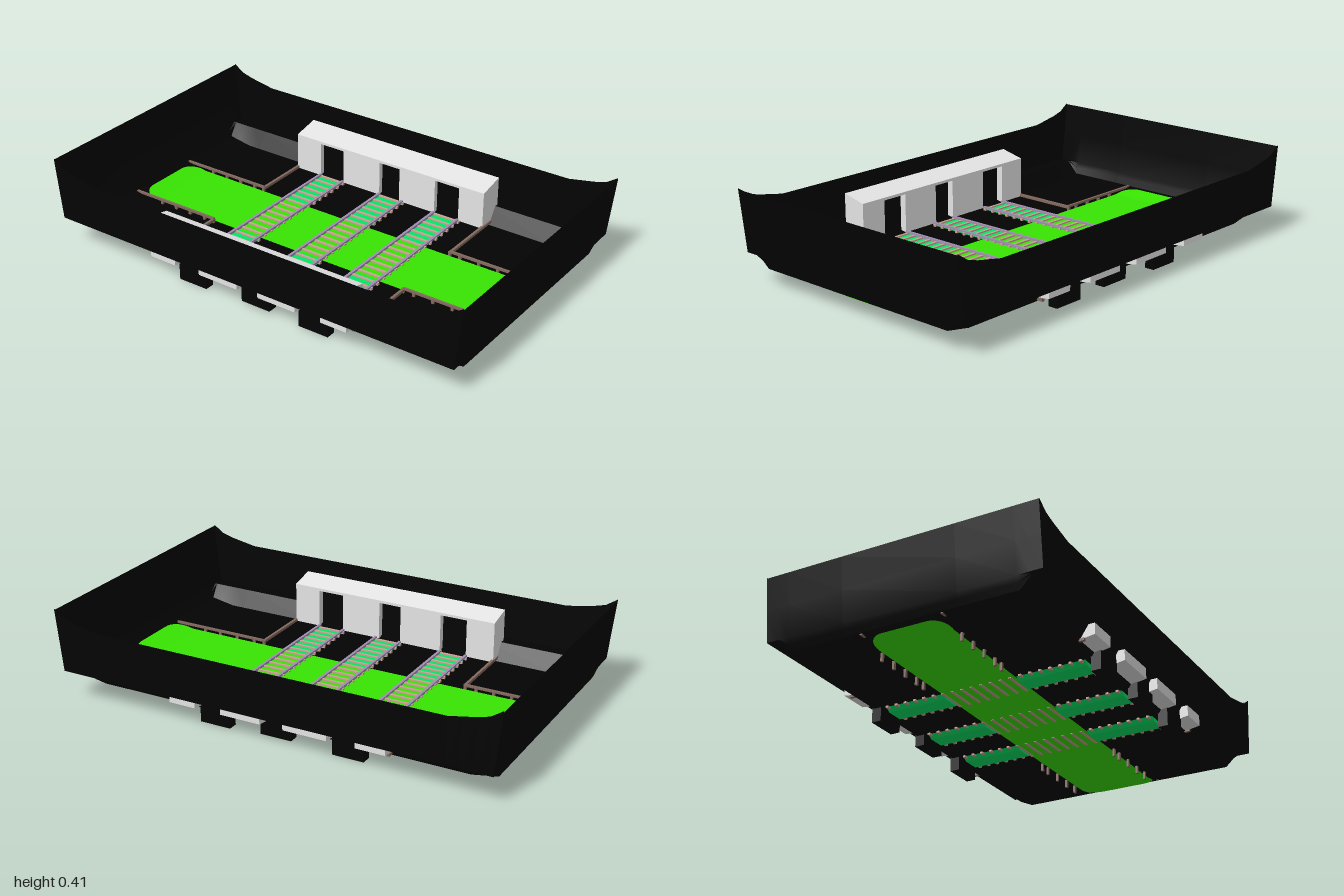
import * as THREE from 'three';
import { toCreasedNormals } from 'three/addons/utils/BufferGeometryUtils.js';

const material = (name, color, side = THREE.FrontSide) => {
  const m = new THREE.MeshStandardMaterial({ color, side });
  m.name = name;
  return m;
};

// Piecewise linear lookup in a list of [position, value]
function lookup(points, t) {
  for (let i = 1; i < points.length; i++) {
    const [a, va] = points[i - 1], [b, vb] = points[i];
    if (t <= b) return va + (vb - va) * Math.max(0, (t - a) / (b - a));
  }
  return points[points.length - 1][1];
}
const FLOOR = [[0, 0.058], [0.84, 0.06], [0.95, 0.08], [0.97, 0.13], [1, 0.4]];
const RIM = [[0, 0.335], [0.78, 0.335], [0.86, 0.35], [0.94, 0.365], [1, 0.405]];
const floorAt = z => lookup(FLOOR, Math.abs(z));

// Grid surface facing up, from a rule (column, row) -> [x, y, z]
function surface(cols, rows, rule) {
  const g = new THREE.PlaneGeometry(1, 1, cols, rows);
  const p = g.attributes.position;
  for (let r = 0; r <= rows; r++)
    for (let c = 0; c <= cols; c++) p.setXYZ(r * (cols + 1) + c, ...rule(c, r));
  return toCreasedNormals(g, 0.5);
}

export function createModel() {
  const root = new THREE.Group();
  root.name = 'arena';
  const black = material('black ground', 0x030303, THREE.DoubleSide);
  const green = material('bright green', 0x38e402, THREE.DoubleSide);
  const teal = material('teal green', 0x02e866);
  const grey = material('light grey', 0xe4e4e4);
  const brown = material('fence brown', 0x84695e);
  const wood = material('sleeper pink brown', 0xcba294);
  const metal = material('rail grey violet', 0xa08eb0);

  const add = (parent, name, geometry, mat) => {
    const m = new THREE.Mesh(geometry, mat);
    m.name = name;
    parent.add(m);
    return m;
  };
  // Box given by its limits
  const box = (parent, name, mat, x0, x1, y0, y1, z0, z1) => {
    const m = add(parent, name, new THREE.BoxGeometry(Math.abs(x1 - x0), y1 - y0, z1 - z0), mat);
    m.position.set((x0 + x1) / 2, (y0 + y1) / 2, (z0 + z1) / 2);
    return m;
  };
  const group = name => {
    const g = new THREE.Group();
    g.name = name;
    root.add(g);
    return g;
  };

  // Tray: floor, stepped sides and curved ends
  const half = [[0.605, 9], [0.605, 0.132], [0.548, 0.132], [0.5, 0.06], [0.25, 0]];
  const section = [...half.map(([x, y]) => [-x, y]), ...half.slice().reverse()];
  const stations = [0, 0.4, 0.78, 0.84, 0.9, 0.95, 0.96, 0.97, 0.985, 1];
  const rows = [...stations.slice(1).reverse().map(z => -z), ...stations];
  add(root, 'tray', surface(section.length - 1, rows.length - 1, (c, r) => {
    const [x, y] = section[c], z = rows[r];
    return [x, Math.max(floorAt(z), Math.min(y, lookup(RIM, Math.abs(z)))), z];
  }), black);

  // Central lane with rounded ends, shown above and below the floor
  const z0 = -0.925, z1 = 0.94, radius = 0.07, laneRows = 80;
  for (const [name, offset] of [['laneTop', 0.005], ['laneUnderside', -0.005]])
    add(root, name, surface(8, laneRows, (c, r) => {
      const t = (1 - Math.cos(Math.PI * r / laneRows)) / 2;
      const z = z0 + (z1 - z0) * t;
      const d = Math.max(0, radius - Math.min(z - z0, z1 - z));
      const w = 0.168 - radius + Math.sqrt(Math.max(0, radius * radius - d * d));
      return [0.005 + w * (c / 4 - 1), floorAt(z) + offset, z];
    }), green);

  // Three crossings: teal beds with shelving undersides, sleepers and rails
  for (const zc of [-0.32, 0, 0.287]) {
    const track = group('crossing');
    for (const [a, b] of [[-0.465, -0.163], [0.173, 0.445]]) {
      const bed = box(track, 'crossingBed', teal, a, b, 0.043, 0.064, zc - 0.065, zc + 0.065);
      const p = bed.geometry.attributes.position;
      for (let i = 0; i < p.count; i++) if (p.getY(i) < 0) p.setZ(i, p.getZ(i) * 0.6);
      bed.geometry = toCreasedNormals(bed.geometry, 0.3);
    }
    for (let i = 0; i < 21; i++) {
      const x = -0.45 + i * 0.0443;
      box(track, 'sleeper', wood, x - 0.006, x + 0.006, 0.051, 0.07, zc - 0.072, zc + 0.072);
    }
    for (const s of [-1, 1])
      box(track, 'rail', metal, -0.465, 0.445, 0.066, 0.076, zc + s * 0.06 - 0.006, zc + s * 0.06 + 0.006);
  }

  // Side buildings: piers with three gateways under one roof
  const piers = [[-0.51, -0.38], [-0.255, -0.06], [0.045, 0.228], [0.35, 0.472]];
  for (const [side, inner, outer, top] of [['left', 0.442, 0.565, 0.238], ['right', -0.465, -0.575, 0.25]]) {
    const building = group(side + 'Building');
    const out = Math.sign(outer);
    // Cross-section with a sloping roof and sloping foot
    const slab = (name, low, lowOuter, a, b) => {
      const shape = new THREE.Shape([
        new THREE.Vector2(inner, low), new THREE.Vector2(outer, lowOuter),
        new THREE.Vector2(outer, top + 0.025), new THREE.Vector2(inner, top)]);
      const g = new THREE.ExtrudeGeometry(shape, { depth: b - a, bevelEnabled: false });
      add(building, name, g, grey).position.z = a;
    };
    for (const [a, b] of piers) slab('pier', 0.068, 0.085, a, b);
    slab('roof', top - 0.012, top + 0.005, -0.505, 0.468);

    // Dark gates filling the gateways and reaching below the floor
    const f = out > 0 ? 0.465 : -0.495;
    const gateTop = top - 0.012;
    for (const [a, b, y] of [[-0.39, -0.25, 0], [-0.065, 0.075, 0.012], [0.22, 0.36, 0]])
      box(building, 'gate', black, f, f + out * 0.043, y, gateTop, a, b);
  }

  // Low fences beside the lane and across the ends of the buildings
  for (const [x, end] of [[-0.172, -0.53], [0.182, 0.535]]) {
    const fence = group('fence');
    for (const [a, b] of [[-0.945, -0.505], [0.47, 0.93]])
      box(fence, 'fenceBar', brown, x - 0.005, x + 0.005, 0.074, 0.084, a, b);
    for (const z of [-0.8, -0.72, -0.64, -0.56, -0.51, 0.47, 0.52, 0.61, 0.7, 0.78])
      box(fence, 'fencePost', brown, x - 0.005, x + 0.005, 0.025, 0.08, z - 0.006, z + 0.006);
    for (const z of [-0.508, 0.472])
      box(fence, 'crossBar', brown, x, end, 0.068, 0.08, z - 0.006, z + 0.006);
  }
  return root;
}
